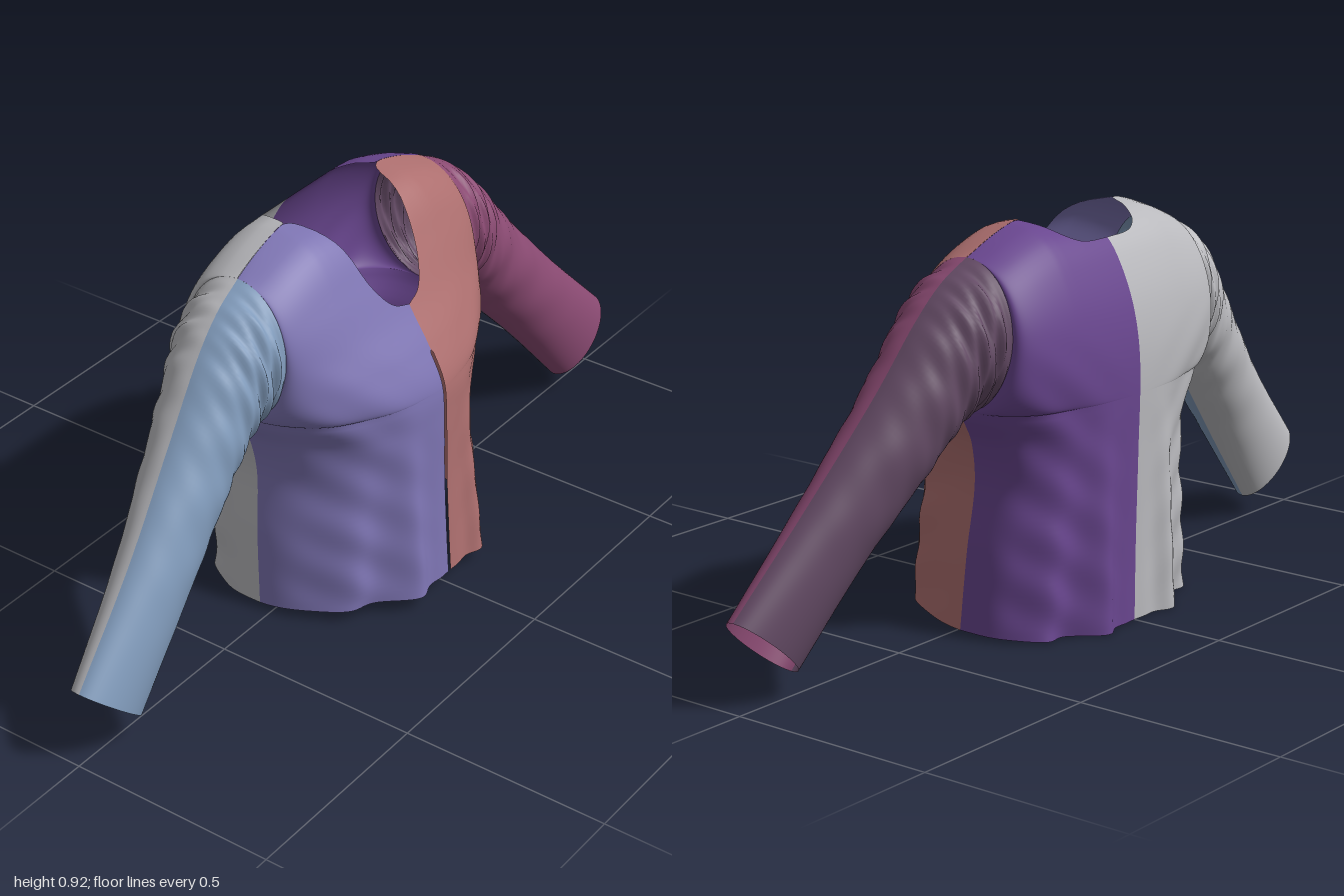
import * as THREE from 'three';

// Smooth interpolation through [key, value] pairs
function smooth(table, k) {
  const n = table.length - 1;
  if (k <= table[0][0]) return table[0][1];
  if (k >= table[n][0]) return table[n][1];
  let i = 0;
  while (k > table[i + 1][0]) i++;
  const slope = (j) => {
    const a = table[Math.max(j - 1, 0)], b = table[Math.min(j + 1, n)];
    return (b[1] - a[1]) / (b[0] - a[0]);
  };
  const h = table[i + 1][0] - table[i][0], t = (k - table[i][0]) / h;
  const t2 = t * t, t3 = t2 * t;
  return (2 * t3 - 3 * t2 + 1) * table[i][1] + (t3 - 2 * t2 + t) * h * slope(i)
    + (3 * t2 - 2 * t3) * table[i + 1][1] + (t3 - t2) * h * slope(i + 1);
}

// Grid surface from a rule; flip reverses the winding
function sheet(rule, cols, rows, flip) {
  const pos = [], idx = [];
  for (let j = 0; j <= rows; j++)
    for (let i = 0; i <= cols; i++) pos.push(...rule(i / cols, j / rows));
  for (let j = 0; j < rows; j++)
    for (let i = 0; i < cols; i++) {
      const a = j * (cols + 1) + i, b = a + 1, c = a + cols + 1, d = c + 1;
      if (flip) idx.push(a, c, b, b, c, d);
      else idx.push(a, b, c, b, d, c);
    }
  const g = new THREE.BufferGeometry();
  g.setAttribute('position', new THREE.Float32BufferAttribute(pos, 3));
  g.setIndex(idx);
  g.computeVertexNormals();
  return g;
}

const UNDERARM = 0.53, TOP = 0.92, SHOULDER = 0.34;

// Body profiles: side width, depth at the centre, and top edge over x
const sideX = [[0, 0.33], [0.2, 0.318], [0.35, 0.302], [0.45, 0.32], [0.53, 0.36], [0.7, 0.35], [0.865, 0.34]];
const frontZ = [[0, 0.268], [0.15, 0.258], [0.3, 0.25], [0.45, 0.246], [0.54, 0.238], [0.62, 0.2],
  [0.7, 0.15], [0.79, 0.1], [0.87, 0.05], [0.905, 0], [0.92, -0.07]];
const backZ = [[0, -0.268], [0.2, -0.27], [0.4, -0.275], [0.6, -0.278], [0.72, -0.26], [0.82, -0.22],
  [0.88, -0.175], [0.91, -0.12], [0.92, -0.07]];
const shoulder = [[0.17, 0.92], [0.2, 0.917], [0.27, 0.895], [0.34, 0.865]];
const frontTop = [[0, 0.71], [0.05, 0.73], [0.09, 0.79], [0.115, 0.87], [0.14, 0.91], ...shoulder];
const backTop = [[0, 0.87], [0.08, 0.873], [0.12, 0.888], [0.15, 0.91], ...shoulder];

// Depth of the side seam, then of the armhole edge
function sideZ(y, dir) {
  if (y < UNDERARM) return -0.03 - 0.035 * y / UNDERARM;
  const r = (TOP - UNDERARM) / 2, k = (y - UNDERARM - r) / r;
  return -0.065 + dir * 0.135 * Math.sqrt(Math.max(0, 1 - k * k));
}

// One quarter of the body; sx is the side, dir is +1 front or -1 back
function bodyPanel(sx, dir) {
  const rule = (p, q) => {
    const t = p * Math.PI / 2, u = Math.sin(t), xTop = u * SHOULDER;
    const hem = dir > 0 ? 0.015 + 0.023 * Math.cos(t) : 0.015 - 0.013 * Math.cos(t);
    const top = smooth(dir > 0 ? frontTop : backTop, xTop);
    let y, ye;
    if (q < 0.45) y = ye = hem + (UNDERARM - hem) * q / 0.45;
    else {
      const s = (1 - Math.cos((q - 0.45) / 0.55 * Math.PI)) / 2;
      y = UNDERARM + (top - UNDERARM) * s;
      const full = smooth(shoulder, xTop);
      ye = UNDERARM + (y - UNDERARM) * (TOP - UNDERARM) / (full - UNDERARM);
    }
    const zs = sideZ(ye, dir), zc = smooth(dir > 0 ? frontZ : backZ, ye);
    let x = smooth(sideX, y) * u;
    let z = zs + (zc - zs) * Math.pow(Math.max(Math.cos(t), 0), dir > 0 ? 1 : 0.65);
    // Hanging folds near the hem and soft diagonal creases at the flank
    const low = Math.max(0, 1 - y / 0.5), inner = Math.sin(2 * t);
    z += dir * low * (0.03 * Math.exp(-(((x - 0.11) / 0.035) ** 2))
      + 0.012 * inner * Math.sin(x * 55 + y * 5));
    if (y < 0.7) z += dir * 0.005 * inner * u * Math.sin(y * 48 - x * 40) * Math.min(1, (0.7 - y) * 5);
    // Narrow front slit
    if (dir > 0 && y < 0.61) x = Math.max(x, 0.004);
    return [sx * x, y, z];
  };
  return sheet(rule, 64, 80, sx * dir < 0);
}

// Sleeve stations: upper edge, lower edge, centre depth, half depth
const stations = [
  [0.34, 0.865, 0.36, 0.53, -0.065, 0.135],
  [0.42, 0.82, 0.4, 0.525, -0.06, 0.13],
  [0.5, 0.745, 0.44, 0.485, -0.053, 0.115],
  [0.62, 0.6, 0.52, 0.395, -0.038, 0.1],
  [0.8, 0.4, 0.66, 0.245, -0.01, 0.08],
  [1.0, 0.2, 0.83, 0.05, 0.012, 0.062],
];
const tracks = [0, 1, 2, 3, 4, 5].map((k) => stations.map((s, i) => [i, s[k]]));

function sleevePanel(sx, dir) {
  const rule = (p, q) => {
    const a = p * Math.PI, s = q * 5;
    const [tx, ty, bx, by, zc, hd] = tracks.map((t) => smooth(t, s));
    // Gathered creases fading out towards the cuff
    const fade = Math.min(1, s * 2) * Math.max(0, 1 - s / 4.5);
    const r = 1 + fade * Math.sin(a) * (0.05 * Math.sin(s * 9 + a * 3) + 0.035 * Math.sin(s * 17 - a * 4));
    const c = Math.cos(a) * r;
    return [
      sx * ((tx + bx) / 2 + (tx - bx) / 2 * c),
      (ty + by) / 2 + (ty - by) / 2 * c,
      zc + dir * hd * Math.sin(a) * r,
    ];
  };
  return sheet(rule, 32, 90, sx * dir > 0);
}

export function createModel() {
  const group = new THREE.Group();
  group.name = 'longSleevedTop';
  const paint = (name, color) => {
    const m = new THREE.MeshStandardMaterial({ color, side: THREE.DoubleSide });
    m.name = name;
    return m;
  };
  const periwinkle = paint('periwinkle', 0x7d74b2);
  const salmon = paint('salmon', 0xad6f6f);
  const purple = paint('purple', 0x69468f);
  const lightGrey = paint('lightGrey', 0xb9b9bd);
  const blue = paint('steelBlue', 0x819bbb);
  const magenta = paint('magenta', 0x8a4a72);
  const plum = paint('plum', 0x634a64);

  const add = (name, geometry, material) => {
    const mesh = new THREE.Mesh(geometry, material);
    mesh.name = name;
    group.add(mesh);
  };
  // Body quarters
  add('leftFrontPanel', bodyPanel(1, 1), salmon);
  add('rightFrontPanel', bodyPanel(-1, 1), periwinkle);
  add('leftBackPanel', bodyPanel(1, -1), purple);
  add('rightBackPanel', bodyPanel(-1, -1), lightGrey);
  // Sleeve halves
  add('leftSleeveFront', sleevePanel(1, 1), magenta);
  add('leftSleeveBack', sleevePanel(1, -1), plum);
  add('rightSleeveFront', sleevePanel(-1, 1), blue);
  add('rightSleeveBack', sleevePanel(-1, -1), lightGrey);
  return group;
}
